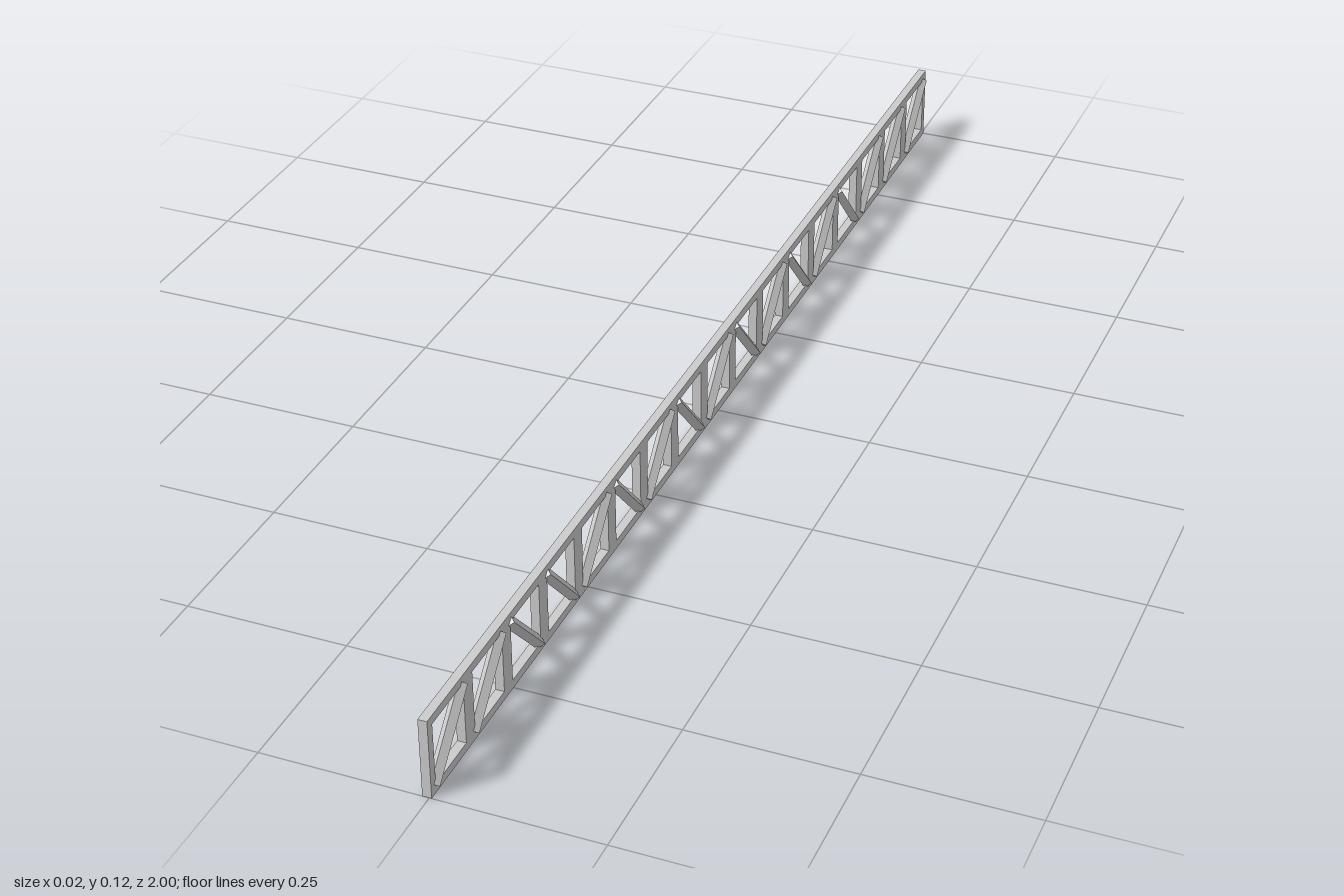
import * as THREE from 'three';

const LENGTH = 2, HEIGHT = 0.125, BAR = 0.0135, FRAME_X = -0.00325;
// Lean of each brace from front to back: '/' rises towards the back
const BRACES = '//\\\\/\\/\\/\\/\\/\\///';

export function createModel() {
  const truss = new THREE.Group();
  truss.name = 'truss';
  const material = new THREE.MeshStandardMaterial({ color: 0xcccccc, flatShading: true });

  function add(name, geometry, x, y, z) {
    const mesh = new THREE.Mesh(geometry, material);
    mesh.name = name;
    mesh.position.set(x, y, z);
    truss.add(mesh);
    return mesh;
  }

  // Long chords
  const chord = new THREE.BoxGeometry(BAR, BAR, LENGTH);
  add('bottomChord', chord, FRAME_X, BAR / 2, 0);
  add('topChord', chord, FRAME_X, HEIGHT - BAR / 2, 0);

  // Each bay has a post at both ends and a square brace set on edge
  const bay = LENGTH / BRACES.length;
  const innerH = HEIGHT - 2 * BAR, innerL = bay - 2 * BAR;
  const post = new THREE.BoxGeometry(BAR, innerH, BAR);
  const radius = BAR * Math.SQRT1_2;
  const brace = new THREE.CylinderGeometry(radius, radius, Math.hypot(innerH, innerL) + 0.003, 4);
  const lean = Math.atan2(innerL, innerH);

  [...BRACES].forEach((direction, i) => {
    const z = LENGTH / 2 - (i + 0.5) * bay;
    for (const side of [-1, 1]) {
      add('post', post, FRAME_X, HEIGHT / 2, z + side * (bay - BAR) / 2);
    }
    const diagonal = add('diagonalBrace', brace, 0.0004, HEIGHT / 2, z);
    diagonal.rotation.x = direction === '/' ? -lean : lean;
  });

  return truss;
}
